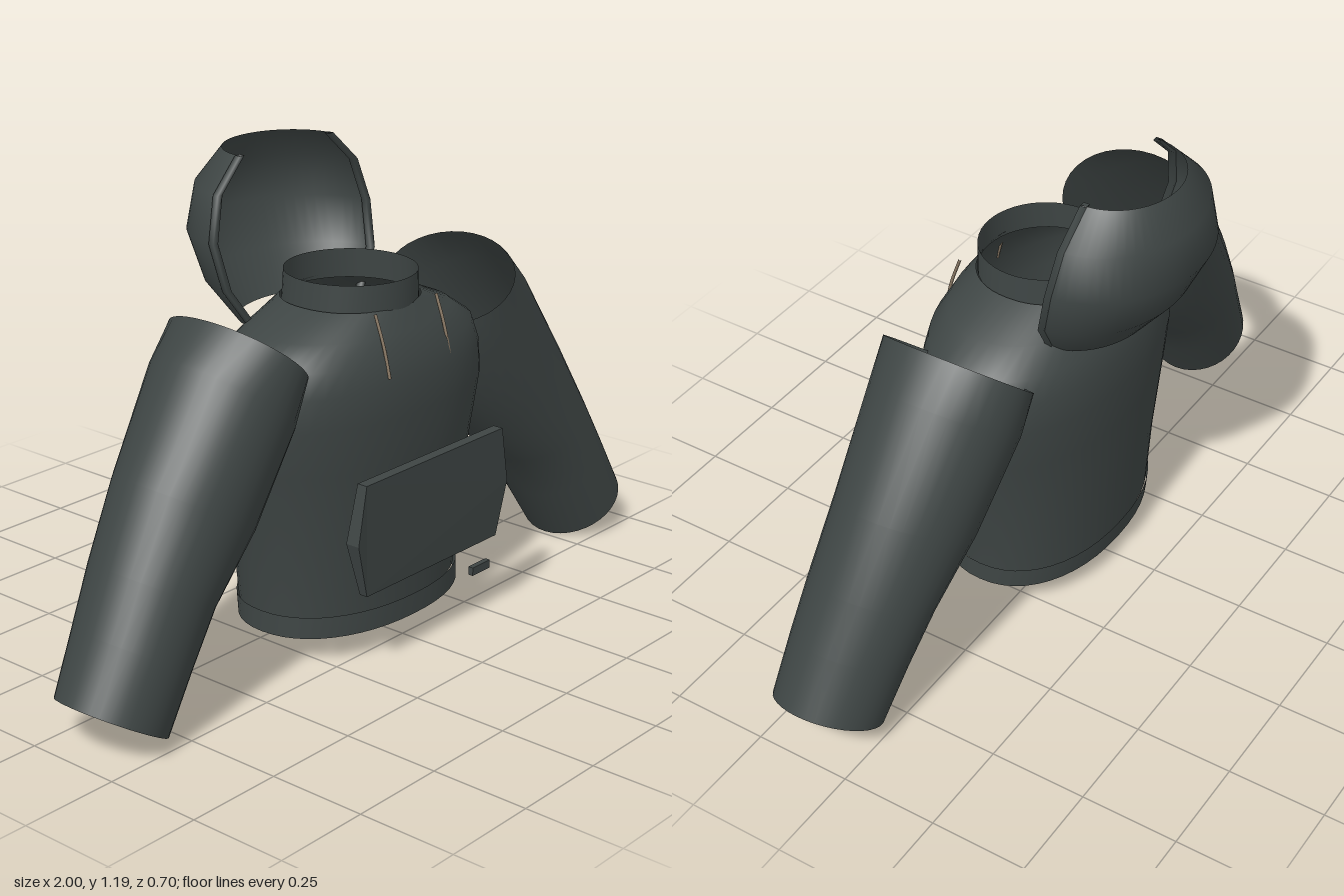
import * as THREE from 'three';

const cloth = new THREE.MeshStandardMaterial({ color: 0x3e4544, side: THREE.DoubleSide });
cloth.name = 'charcoalCloth';
const cord = new THREE.MeshStandardMaterial({ color: 0x8a7965 });
cord.name = 'tanCord';

// Smooth skin through cross-sections that all have the same number of points
function loft(rings, closed) {
  const n = rings[0].length, spans = closed ? n : n - 1, index = [];
  for (let r = 0; r < rings.length - 1; r++) {
    for (let i = 0; i < spans; i++) {
      const a = r * n + i, b = r * n + (i + 1) % n;
      index.push(a, a + n, b, b, a + n, b + n);
    }
  }
  const geometry = new THREE.BufferGeometry().setFromPoints(rings.flat());
  geometry.setIndex(index);
  geometry.computeVertexNormals();
  return geometry;
}

// Points around (or part way around) a cross-section
function sweep(count, from, to, closed, fn) {
  return Array.from({ length: count }, (_, i) =>
    fn(from + (to - from) * i / (closed ? count : count - 1)));
}

// Horizontal oval, slightly squared by the exponent
function oval([y, halfWidth, back, front], power = 2.2) {
  const bend = v => Math.sign(v) * Math.abs(v) ** (2 / power);
  return sweep(48, 0, Math.PI * 2, true, a => new THREE.Vector3(
    halfWidth * bend(Math.cos(a)), y,
    (front + back) / 2 + (front - back) / 2 * bend(Math.sin(a))));
}

export function createModel() {
  const model = new THREE.Group();
  model.name = 'hoodedSweater';
  const add = (name, geometry, material = cloth) => {
    const mesh = new THREE.Mesh(geometry, material);
    mesh.name = name;
    model.add(mesh);
    return mesh;
  };

  // Torso: height, half width, back z, front z
  add('torso', loft([
    [0.12, 0.318, -0.142, 0.28], [0.3, 0.335, -0.153, 0.288], [0.5, 0.375, -0.168, 0.305],
    [0.62, 0.4, -0.175, 0.316], [0.7, 0.395, -0.168, 0.311], [0.76, 0.37, -0.152, 0.298],
    [0.81, 0.29, -0.118, 0.272], [0.86, 0.17, -0.088, 0.238],
  ].map(s => oval(s)), true));
  add('hem', loft([[0.075, 0.325, -0.14, 0.288], [0.13, 0.325, -0.146, 0.288]].map(s => oval(s)), true));
  add('collar', loft([[0.85, 0.167, -0.092, 0.242], [0.925, 0.163, -0.087, 0.24]].map(s => oval(s, 2)), true));

  // Sleeves: centre x, y, z, in-plane radius, depth radius, axis tilt
  const sections = [
    [0.39, 0.81, 0.068, 0.14, 0.198, 0.74], [0.447, 0.712, 0.07, 0.175, 0.192, 0.68],
    [0.595, 0.495, 0.086, 0.178, 0.173, 0.55], [0.72, 0.34, 0.103, 0.148, 0.158, 0.53],
    [0.8, 0.215, 0.117, 0.14, 0.148, 0.53], [0.883, 0.077, 0.13, 0.136, 0.137, 0.53],
  ];
  for (const side of [1, -1]) {
    add(side > 0 ? 'leftSleeve' : 'rightSleeve', loft(sections.map(([x, y, z, r, depth, tilt]) =>
      sweep(36, 0, Math.PI * 2, true, a => new THREE.Vector3(
        side * (x + r * Math.cos(a) * Math.cos(tilt)),
        y + r * Math.cos(a) * Math.sin(tilt),
        z + depth * Math.sin(a)))), true));
  }

  // Hood: open half shell, height, half width, front z, back z
  const hood = [
    [0.79, 0.2, -0.06, -0.21], [0.89, 0.268, -0.08, -0.292], [1.005, 0.283, -0.108, -0.348],
    [1.115, 0.25, -0.123, -0.332], [1.195, 0.165, -0.13, -0.28],
  ];
  add('hood', loft(hood.map(([y, w, front, back]) => sweep(32, 0, Math.PI, false, a =>
    new THREE.Vector3(w * Math.cos(a), y, front + (back - front) * Math.sin(a)))), false));

  // Narrow band along each open edge of the hood
  for (const side of [1, -1]) {
    add(side > 0 ? 'leftHoodRim' : 'rightHoodRim', loft(hood.map(([y, w, front]) =>
      [[-0.012, 0.004], [0.004, 0.004], [0.004, -0.012], [-0.012, -0.012]].map(([dx, dz]) =>
        new THREE.Vector3(side * (w + dx), y, front + dz))), true));
  }

  // Front pocket: six-sided panel whose back swells towards the torso
  const outline = new THREE.Shape([
    [-0.25, 0.22], [0.25, 0.22], [0.285, 0.36], [0.26, 0.505], [-0.26, 0.505], [-0.288, 0.36],
  ].map(p => new THREE.Vector2(...p)));
  const pocket = new THREE.ExtrudeGeometry(outline, { depth: 0.03, bevelEnabled: false });
  const p = pocket.attributes.position;
  for (let i = 0; i < p.count; i++) {
    const y = p.getY(i), isFront = p.getZ(i) > 0.01;
    p.setZ(i, isFront ? (y < 0.3 ? 0.344 : 0.35) : (y > 0.3 && y < 0.4 ? 0.312 : 0.322));
  }
  pocket.computeVertexNormals();
  add('frontPocket', pocket);

  // Small label on the hem
  add('hemLabel', new THREE.BoxGeometry(0.07, 0.022, 0.014)).position.set(0.25, 0.118, 0.295);

  // Drawstrings hanging from the collar
  for (const [name, x, end] of [['leftDrawstring', 0.11, 0.7], ['rightDrawstring', -0.117, 0.72]]) {
    const path = new THREE.CatmullRomCurve3([
      new THREE.Vector3(x, 0.868, 0.252), new THREE.Vector3(x, 0.79, 0.28),
      new THREE.Vector3(x * 1.02, end, 0.3),
    ]);
    add(name, new THREE.TubeGeometry(path, 10, 0.004, 6), cord);
  }
  return model;
}
